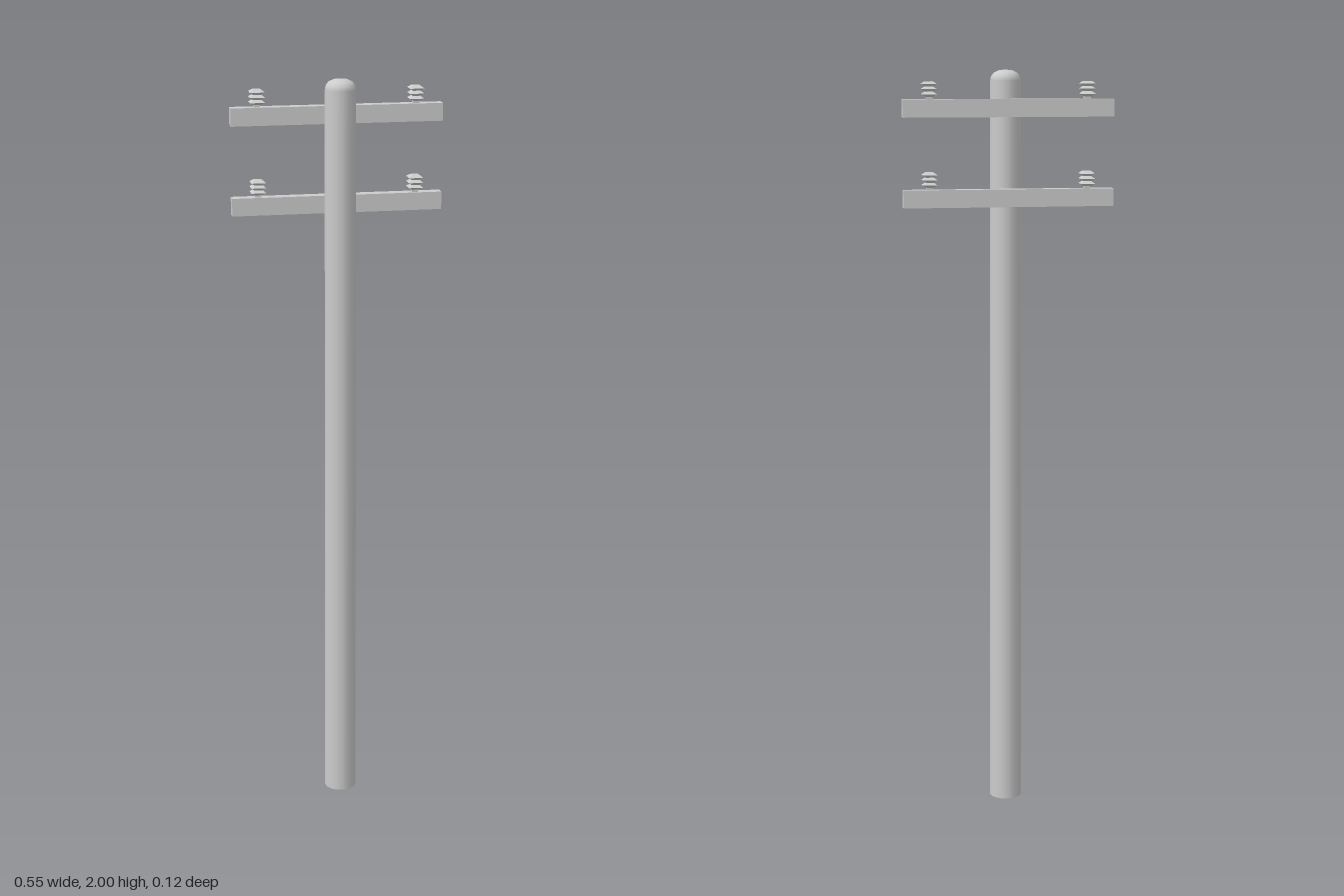
import * as THREE from 'three';

const grey = new THREE.MeshStandardMaterial({ color: 0xcccccc, side: THREE.DoubleSide });
grey.name = 'pale grey';
const flatGrey = grey.clone(); // same colour, faceted for the square insulators
flatGrey.name = 'pale grey faceted';
flatGrey.flatShading = true;

function lathe(points, segments) {
  return new THREE.LatheGeometry(points.map(([r, y]) => new THREE.Vector2(r, y)), segments);
}

// Square stacked insulator: three ridges above a short neck
function insulatorGeometry() {
  const profile = [[0.008, 0], [0.008, 0.006]];
  for (let i = 0; i < 3; i++) {
    const y = 0.006 + i * 0.013;
    profile.push([0.019, y + 0.0065], [0.01, y + 0.013]);
  }
  profile.push([0, 0.045]);
  const g = lathe(profile.map(([r, y]) => [r * Math.SQRT2, y]), 4);
  g.rotateY(Math.PI / 4);
  return g;
}

export function createModel() {
  const model = new THREE.Group();
  model.name = 'utilityPole';

  // Tapered pole, open underneath, with a rounded top
  const pole = new THREE.Mesh(lathe([
    [0.0445, 0], [0.0405, 1.972], [0.038, 1.983], [0.031, 1.992], [0.018, 1.998], [0, 2],
  ], 16), grey);
  pole.name = 'pole';
  pole.position.z = 0.0122;
  model.add(pole);

  // Two crossarms behind the pole, each with a pair of insulators
  const armGeometry = new THREE.BoxGeometry(0.552, 0.046, 0.029);
  const insulator = insulatorGeometry();
  for (const [name, y] of [['upper', 1.903], ['lower', 1.672]]) {
    const group = new THREE.Group();
    group.name = name + 'Crossarm';
    group.position.set(0, y, -0.0405);
    const arm = new THREE.Mesh(armGeometry, grey);
    arm.name = 'crossarmBeam';
    group.add(arm);
    for (const side of [-1, 1]) {
      const mesh = new THREE.Mesh(insulator, flatGrey);
      mesh.name = side > 0 ? 'leftInsulator' : 'rightInsulator';
      mesh.position.set(side * 0.207, 0.023, 0);
      group.add(mesh);
    }
    model.add(group);
  }
  return model;
}
